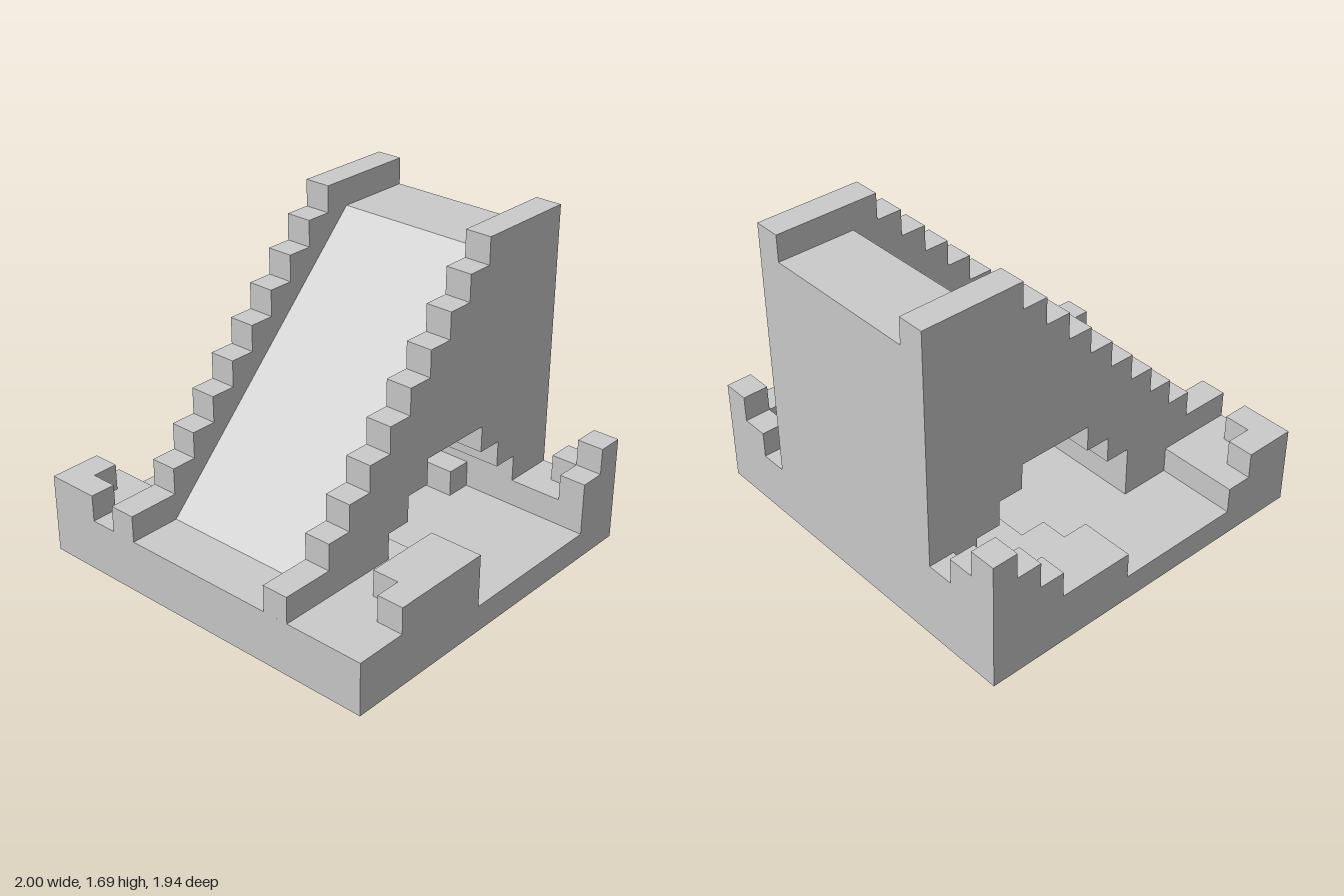
import * as THREE from 'three';

// Size of one block along each axis
const BX = 1 / 7, BY = 0.141, BZ = 0.1388;

export function createModel() {
  const model = new THREE.Group();
  const material = new THREE.MeshStandardMaterial({ color: 0xcccccc, flatShading: true });

  function add(name, geometry) {
    geometry.scale(BX, BY, BZ);
    const mesh = new THREE.Mesh(geometry, material);
    mesh.name = name;
    model.add(mesh);
  }
  const toShape = pts => new THREE.Shape(pts.map(([a, b]) => new THREE.Vector2(a, b)));
  const extrude = (pts, depth) =>
    new THREE.ExtrudeGeometry(toShape(pts), { depth, bevelEnabled: false });

  // Side profile of (z, y) points, extruded from x0 to x1
  function profile(name, pts, x0, x1) {
    add(name, extrude(pts, x1 - x0).rotateY(-Math.PI / 2).translate(x1, 0, 0));
  }
  // Floor plan of (x, z) points, extruded from y0 to y1
  function plan(name, pts, y0, y1) {
    add(name, extrude(pts, y1 - y0).rotateX(Math.PI / 2).translate(0, y1, 0));
  }
  function box(name, x0, x1, y0, y1, z0, z1) {
    add(name, new THREE.BoxGeometry(x1 - x0, y1 - y0, z1 - z0)
      .translate((x0 + x1) / 2, (y0 + y1) / 2, (z0 + z1) / 2));
  }

  // Ground slab, also the bed of the channel
  box('groundSlab', -7, 7, 0, 1, -7, 7);

  // Banks on both sides of the channel that crosses under the ramp
  plan('frontBank', [[-7, 7], [-7, 4], [-4, 4], [-4, 2], [1, 2], [1, 1], [7, 1], [7, 7]], 1, 2);
  plan('backBank', [[-7, -7], [7, -7], [7, -5], [2, -5], [2, -4], [-1, -4], [-1, -3],
    [-4, -3], [-4, -2], [-5, -2], [-5, -1], [-7, -1]], 1, 2);

  // Corbelled tunnel opening, from front to back
  const arch = [[2, 2], [2, 3], [1, 3], [1, 4], [0, 4], [0, 5], [-3, 5], [-3, 4],
    [-4, 4], [-4, 3], [-5, 3], [-5, 2]];

  // Stepped side walls
  const steps = [[7, 3]];
  for (let z = 5, y = 3; z >= -3; z--, y++) steps.push([z, y], [z, y + 1]);
  const wall = [[-7, 2], [-7, 12], ...steps.reverse(), [7, 2], ...arch];
  profile('rightWall', wall, -4, -3);
  profile('leftWall', wall, 3, 4);

  // Sloping ramp with its flat landing
  profile('ramp', [[-7, 2], [-7, 11], [-4, 11], [5, 2], ...arch], -3, 3);

  // Low stepped parapets at the four corners
  plan('frontRightParapet', [[-7, 7], [-7, 5], [-6, 5], [-6, 6], [-5, 6], [-5, 7]], 2, 3);
  plan('frontLeftParapet', [[5, 1], [7, 1], [7, 5], [6, 5], [6, 4], [5, 4]], 2, 3);
  for (let i = 0; i < 3; i++) {
    for (let j = 0; j < 3 - i; j++) {
      box('backRightParapet', -7 + i, -6 + i, 2, 5 - i - j, -7 + j, -6 + j);
      if (i + j < 2) box('backLeftParapet', 6 - i, 7 - i, 2, 4 - i - j, -7 + j, -6 + j);
    }
  }
  return model;
}
